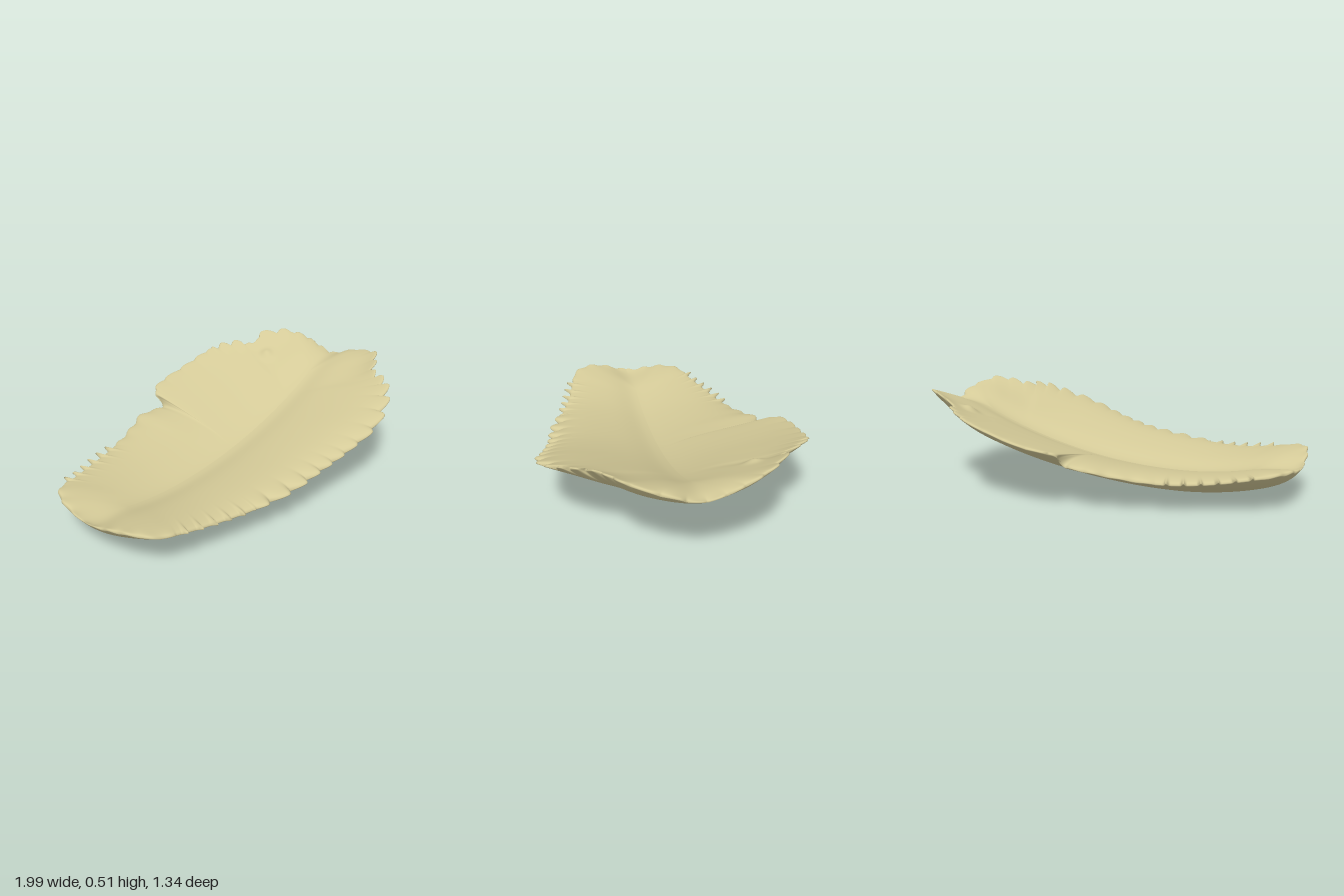
import * as THREE from 'three';

// Rim of the shell as [x, z, lift]: along +z to the broad tip, then back along -z
const RIM = [
  [-0.99, 0.02, 0.015], [-0.99, 0.2, 0.01], [-0.96, 0.3, 0.01], [-0.9, 0.365, 0.01], [-0.8, 0.39, 0.015],
  [-0.6, 0.435, 0.01], [-0.4, 0.495, 0], [-0.2, 0.545, -0.01], [0, 0.575, -0.01], [0.2, 0.62, -0.01],
  [0.38, 0.65, -0.005], [0.56, 0.605, 0.015], [0.68, 0.52, 0.05], [0.74, 0.42, 0.07], [0.84, 0.37, 0.065],
  [0.92, 0.32, 0.045], [0.97, 0.22, 0.02], [0.99, 0.14, 0.01], [0.98, 0, 0],
  [0.98, -0.12, 0.01], [0.96, -0.24, 0.03], [0.89, -0.34, 0.055], [0.79, -0.42, 0.075],
  [0.72, -0.42, 0.06], [0.68, -0.5, 0.06], [0.6, -0.575, 0.05], [0.52, -0.625, 0.04],
  [0.38, -0.65, 0.035], [0.22, -0.67, 0.03], [0.11, -0.66, 0.035], [0.055, -0.62, 0.04],
  [0.048, -0.58, 0.025], [0.035, -0.55, 0], [0, -0.56, 0],
  [-0.1, -0.585, 0], [-0.2, -0.55, 0], [-0.4, -0.485, 0], [-0.6, -0.425, 0.01],
  [-0.8, -0.35, 0.02], [-0.9, -0.31, 0.015], [-0.96, -0.22, 0.01], [-0.985, -0.1, 0.01],
];
const AROUND = 900, RINGS = 28;

// Height of the underside: an upswept keel with rounded V sides, the back one shallower
function hull(x, z) {
  const d = x + 0.4, a = Math.abs(d);
  const keel = d > 0 ? 0.195 * a * a + 0.0022 * a ** 8 : 0.3 * a * a + 8 * a ** 10;
  return keel + (z > 0 ? 0.375 : 0.345) * (Math.sqrt(z * z + 0.01) - 0.1);
}

// Body thickness: full in the middle, a groove along the keel, a rounded lip at the rim
function thickness(v, z) {
  const body = 0.03 + 0.085 * (1 - v * v) - 0.02 * Math.exp(-z * z / 0.01);
  return 0.004 + body * Math.sqrt(1 - v ** 10);
}

// Outward tooth at arc length s: thin spikes, leaning scallops or a fine ripple
function tooth(s, x, z) {
  if (x < -0.82) return 0.004 * Math.sin(s * 60);
  if (x < -0.4) {
    const f = s / 0.078 - Math.floor(s / 0.078);
    return 0.04 * Math.max(0, 1 - Math.abs(f - 0.5) * 6) ** 1.5;
  }
  if (z < 0 && x < 0.05) return 0.006 * Math.sin(s * 50);
  const calm = (z < -0.5 && x < 0.55) || x > 0.93;
  const f = s / 0.1 + 0.25 * Math.sin(s * 9);
  const w = f - Math.floor(f);
  const wave = w < 0.7 ? Math.sin((w / 0.7) * Math.PI / 2) : Math.cos(((w - 0.7) / 0.3) * Math.PI / 2);
  return (calm ? 0.012 : 0.034 + 0.012 * Math.sin(s * 7.3)) * (wave - 0.45);
}

function shellGeometry() {
  const curve = new THREE.CatmullRomCurve3(
    RIM.map(([x, z, lift]) => new THREE.Vector3(x, lift, z)), true, 'centripetal');
  curve.arcLengthDivisions = 2000;
  const length = curve.getLength();
  const rim = [];
  for (let i = 0; i < AROUND; i++) {
    const p = curve.getPointAt(i / AROUND), t = curve.getTangentAt(i / AROUND);
    const n = Math.hypot(t.x, t.z) || 1;
    rim.push({ p, nx: -t.z / n, nz: t.x / n, out: tooth((i / AROUND) * length, p.x, p.z) });
  }

  // Rows run over the top from keel to rim, then back underneath
  const rows = [];
  for (let k = 0; k <= RINGS; k++) rows.push([1 - (1 - k / RINGS) ** 1.5, true]);
  for (let k = RINGS; k >= 0; k--) rows.push([1 - (1 - k / RINGS) ** 1.5, false]);

  const positions = [], index = [];
  for (const [v, top] of rows) {
    for (const { p, nx, nz, out } of rim) {
      const push = out * v ** 14;
      const x = p.x * (0.75 + 0.25 * v) + nx * push;
      const z = p.z * v + nz * push;
      let y = hull(x, z) + p.y * v ** 6 + 0.15 * push;
      if (top) {
        // a small pucker sits near the broad tip
        y += thickness(v, z) + 0.02 * Math.exp(-((x - 0.7) ** 2 + (z + 0.3) ** 2) / 0.0012);
      }
      positions.push(x, y, z);
    }
  }
  for (let k = 0; k < rows.length - 1; k++) {
    for (let i = 0; i < AROUND; i++) {
      const j = (i + 1) % AROUND;
      const a = k * AROUND + i, b = a + AROUND, c = (k + 1) * AROUND + j, d = k * AROUND + j;
      index.push(a, b, c, a, c, d);
    }
  }
  const geometry = new THREE.BufferGeometry();
  geometry.setAttribute('position', new THREE.Float32BufferAttribute(positions, 3));
  geometry.setIndex(index);
  geometry.computeVertexNormals();
  return geometry;
}

export function createModel() {
  const group = new THREE.Group();
  group.name = 'curledShell';
  const paleStraw = new THREE.MeshStandardMaterial({ color: 0xd4ca98 });
  paleStraw.name = 'paleStraw';
  const shell = new THREE.Mesh(shellGeometry(), paleStraw);
  shell.name = 'shell';
  group.add(shell);
  return group;
}
